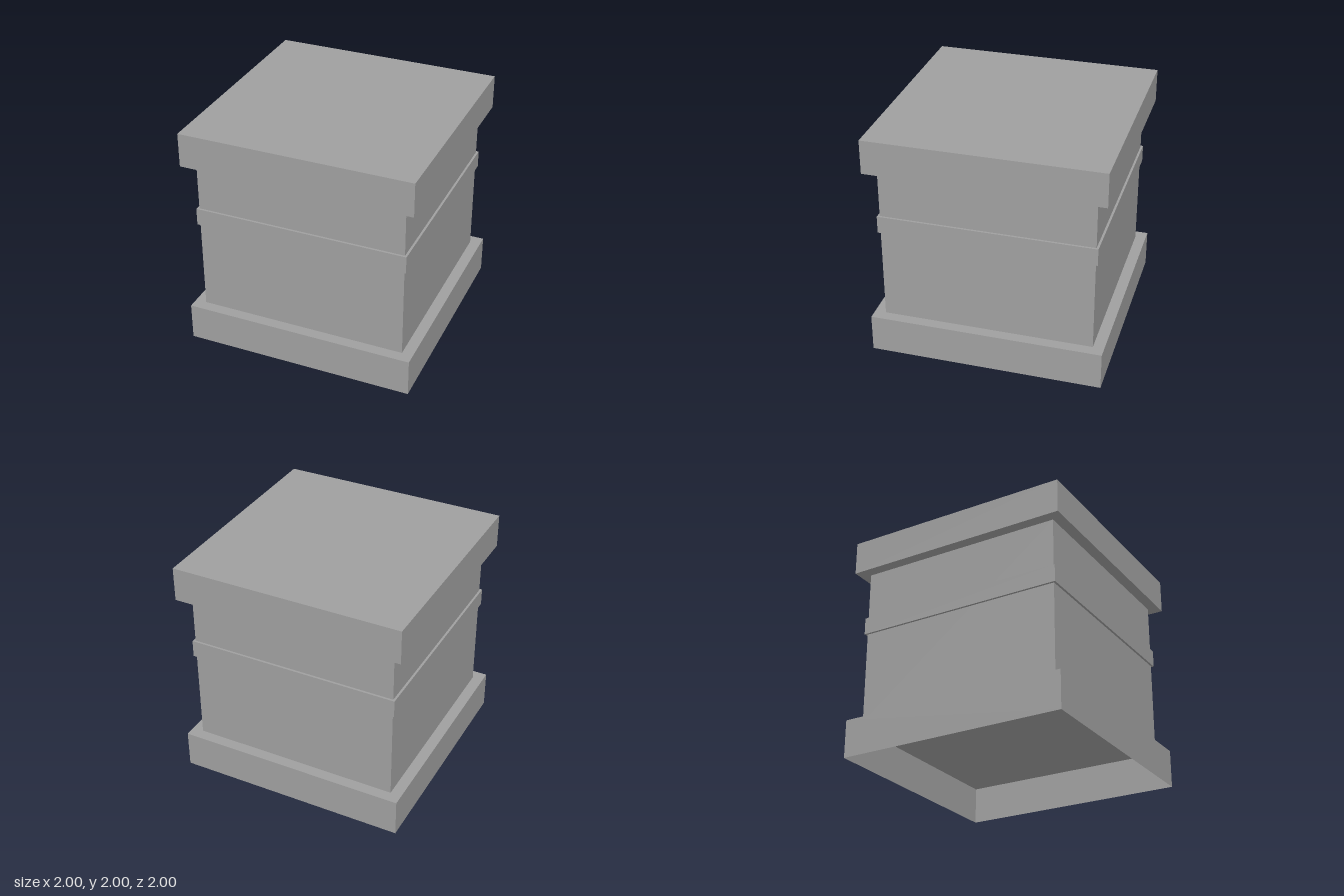
import * as THREE from 'three';

export function createModel() {
  const model = new THREE.Group();
  model.name = 'pedestal';

  const stone = new THREE.MeshStandardMaterial({ color: 0x9f9f9f });
  stone.name = 'grey stone';
  const shellStone = new THREE.MeshStandardMaterial({ color: 0x9f9f9f, side: THREE.DoubleSide });
  shellStone.name = 'grey stone shell';

  // Square block given by half width and its bottom and top heights
  const block = (name, half, y0, y1) => {
    const mesh = new THREE.Mesh(new THREE.BoxGeometry(half * 2, y1 - y0, half * 2), stone);
    mesh.position.y = (y0 + y1) / 2;
    mesh.name = name;
    model.add(mesh);
  };

  const baseTop = 0.328, half = 0.904;

  // Hollow plinth, open underneath: side walls and the ledge around the column
  const profile = [[1, 0], [1, baseTop], [half, baseTop]]
    .map(([r, y]) => new THREE.Vector2(r * Math.SQRT2, y));
  const plinthGeometry = new THREE.LatheGeometry(profile, 4).rotateY(Math.PI / 4).toNonIndexed();
  plinthGeometry.computeVertexNormals();
  const plinth = new THREE.Mesh(plinthGeometry, shellStone);
  plinth.name = 'plinth';
  model.add(plinth);

  // Column, raised band and cap slab
  block('column', half, baseTop, 1.705);
  block('band', 0.923, 1.13, 1.28);
  block('cap', 1, 1.705, 2);

  return model;
}
